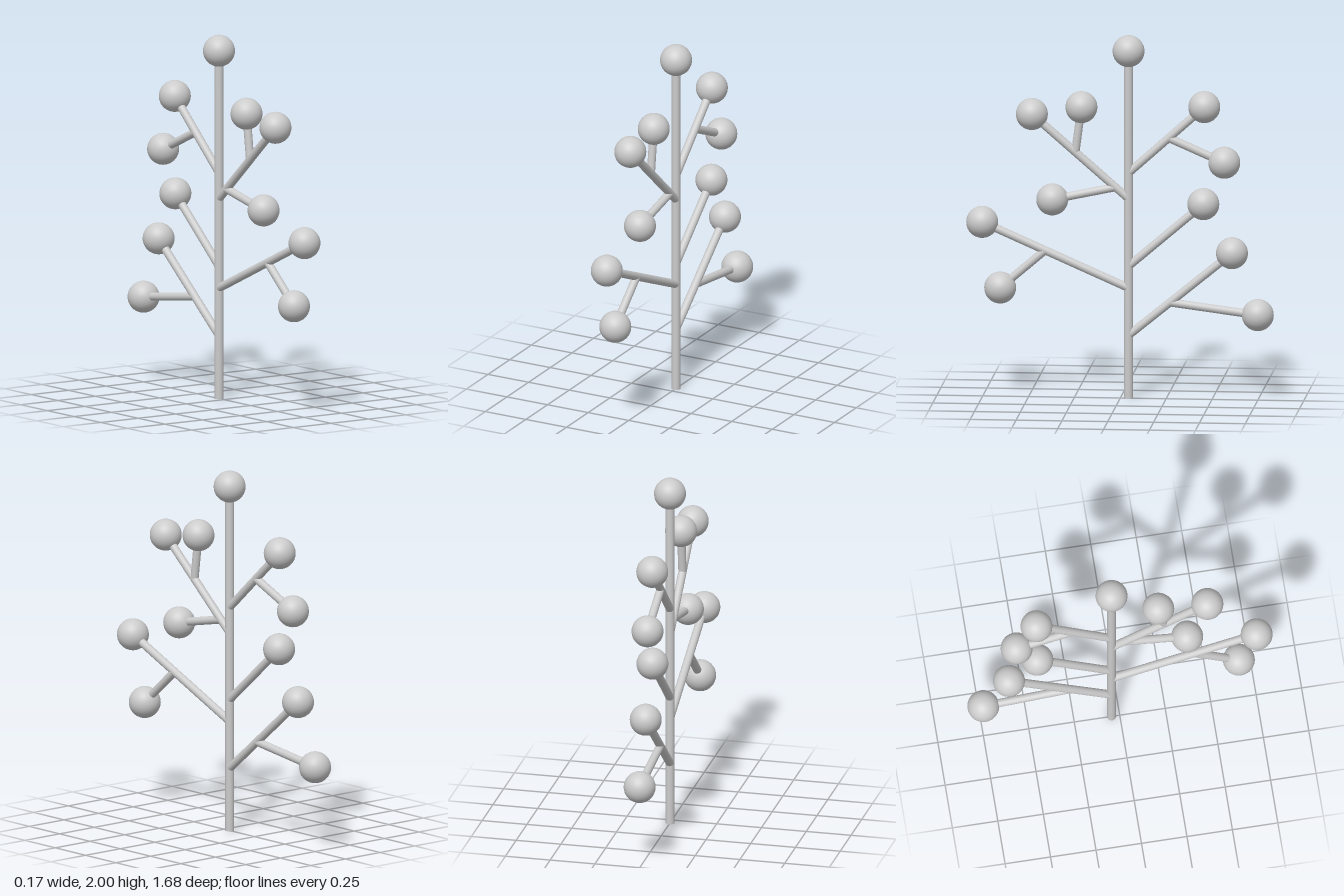
import * as THREE from 'three';

const material = new THREE.MeshStandardMaterial({ color: 0xcccccc });
const TRUNK_Z = -0.045;
const BALL_RADIUS = 0.087;
const UP = new THREE.Vector3(0, 1, 0);

// Straight round rod between two [z, y] points in the x = 0 plane
function rod(name, from, to, radius) {
  const a = new THREE.Vector3(0, from[1], from[0]);
  const b = new THREE.Vector3(0, to[1], to[0]);
  const dir = b.clone().sub(a);
  const mesh = new THREE.Mesh(new THREE.CylinderGeometry(radius, radius, dir.length(), 20), material);
  mesh.name = name;
  mesh.position.copy(a).add(b).multiplyScalar(0.5);
  mesh.quaternion.setFromUnitVectors(UP, dir.normalize());
  return mesh;
}

function ball(name, [z, y]) {
  const mesh = new THREE.Mesh(new THREE.SphereGeometry(BALL_RADIUS, 32, 24), material);
  mesh.name = name;
  mesh.position.set(0, y, z);
  return mesh;
}

// Branches leave the trunk at height y; twigs leave a branch at fraction t
const branches = [
  { y: 0.347, tip: [-0.609, 0.808], twigs: [{ t: 0.4, tip: [-0.75, 0.469] }] },
  { y: 0.608, tip: [0.753, 0.959], twigs: [{ t: 0.57, tip: [0.655, 0.599] }] },
  { y: 0.728, tip: [-0.453, 1.076], twigs: [] },
  { y: 1.1, tip: [0.482, 1.558], twigs: [{ t: 0.135, tip: [0.371, 1.089] }, { t: 0.55, tip: [0.212, 1.6] }] },
  { y: 1.242, tip: [-0.458, 1.611], twigs: [{ t: 0.53, tip: [-0.567, 1.306] }] },
];

export function createModel() {
  const model = new THREE.Group();
  model.name = 'ballTree';

  // Trunk and its top ball
  const top = [TRUNK_Z, 2 - BALL_RADIUS];
  model.add(rod('trunk', [TRUNK_Z, 0], top, 0.024), ball('topBall', top));

  // Branches and twigs, each ending in a ball
  branches.forEach(({ y, tip, twigs }, i) => {
    const group = new THREE.Group();
    group.name = `branch${i + 1}`;
    const root = [TRUNK_Z, y];
    group.add(rod('branchRod', root, tip, 0.0225), ball('branchBall', tip));
    for (const twig of twigs) {
      const fork = root.map((v, k) => THREE.MathUtils.lerp(v, tip[k], twig.t));
      group.add(rod('twigRod', fork, twig.tip, 0.0225), ball('twigBall', twig.tip));
    }
    model.add(group);
  });
  return model;
}
